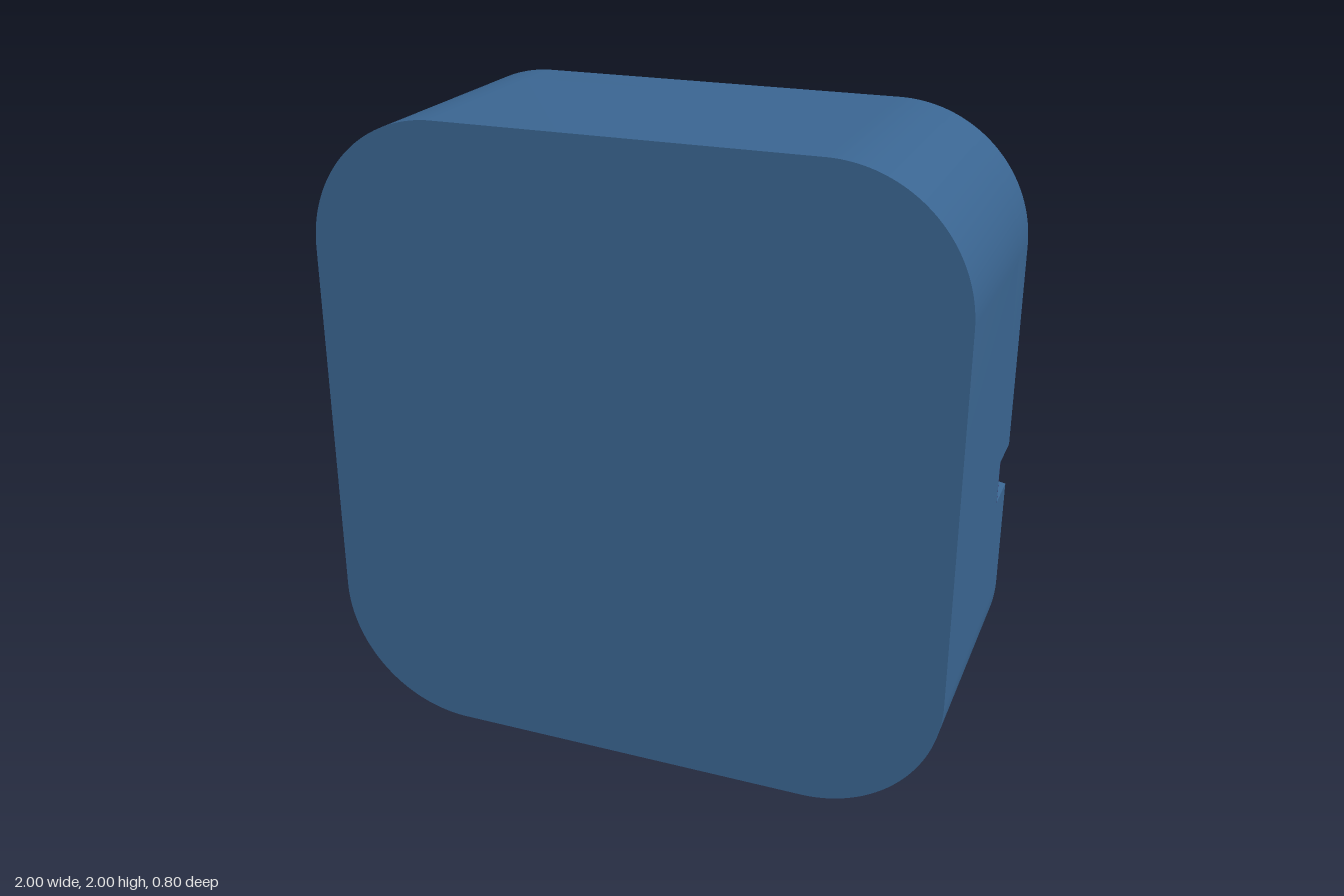
import * as THREE from 'three';
import { toCreasedNormals } from 'three/addons/utils/BufferGeometryUtils.js';

const R = 0.42;        // outer corner radius
const r = 0.09;        // pocket corner radius
const P = 0.4;         // half size of the pocket
const FRONT = 0.4, FLOOR = -0.25, BACK = -0.4;

// Rounded square outline, centred on the origin
function roundedSquare(h, rad) {
  const s = new THREE.Shape();
  s.absarc(h - rad, h - rad, rad, 0, Math.PI / 2);
  s.absarc(-h + rad, h - rad, rad, Math.PI / 2, Math.PI);
  s.absarc(-h + rad, -h + rad, rad, Math.PI, Math.PI * 1.5);
  s.absarc(h - rad, -h + rad, rad, Math.PI * 1.5, Math.PI * 2);
  s.closePath();
  return s;
}

// Lower edge of the channel, from the +x side to the -x side
function channelEdge() {
  const p = new THREE.Path();
  p.moveTo(1, -0.22);
  p.lineTo(P, -0.113);
  p.lineTo(P, -P + r);
  p.absarc(P - r, -P + r, r, 0, -Math.PI / 2, true);
  p.lineTo(-P + r, -P);
  p.absarc(-P + r, -P + r, r, -Math.PI / 2, -Math.PI, true);
  p.lineTo(-P, -0.027);
  p.lineTo(-1, 0.08);
  return p.getPoints(10);
}

function extrude(shape, z0, z1) {
  const g = new THREE.ExtrudeGeometry(shape, { depth: z1 - z0, bevelEnabled: false, curveSegments: 24 });
  g.translate(0, 0, z0);
  return toCreasedNormals(g, 0.5);
}

export function createModel() {
  const blue = new THREE.MeshStandardMaterial({ color: 0x3a6591 });
  blue.name = 'blue shell';
  const purple = new THREE.MeshStandardMaterial({ color: 0x3b2f61 });
  purple.name = 'purple recess';

  const model = new THREE.Group();
  model.name = 'roundedBlock';
  const add = (name, geometry, material) => {
    const m = new THREE.Mesh(geometry, material);
    m.name = name;
    m.position.y = 1;
    model.add(m);
    return m;
  };

  // Solid front part
  add('frontBody', extrude(roundedSquare(1, R), FLOOR, FRONT), blue);

  // Back layer: two interlocking halves either side of the channel
  const edge = channelEdge();
  const half = new THREE.Shape(edge);
  half.lineTo(-1, -1 + R);
  half.absarc(-1 + R, -1 + R, R, Math.PI, Math.PI * 1.5);
  half.lineTo(1 - R, -1);
  half.absarc(1 - R, -1 + R, R, Math.PI * 1.5, Math.PI * 2);
  half.closePath();
  const halfGeometry = extrude(half, BACK, FLOOR);
  add('lowerBack', halfGeometry, blue);
  add('upperBack', halfGeometry, blue).rotation.z = Math.PI;

  // Coloured floor of the pocket and its two slots
  const turned = edge.map((p) => new THREE.Vector2(-p.x, -p.y));
  const floor = extrude(new THREE.Shape([...edge, ...turned]), FLOOR - 0.003, FLOOR);
  add('recessFloor', floor, purple);

  return model;
}
